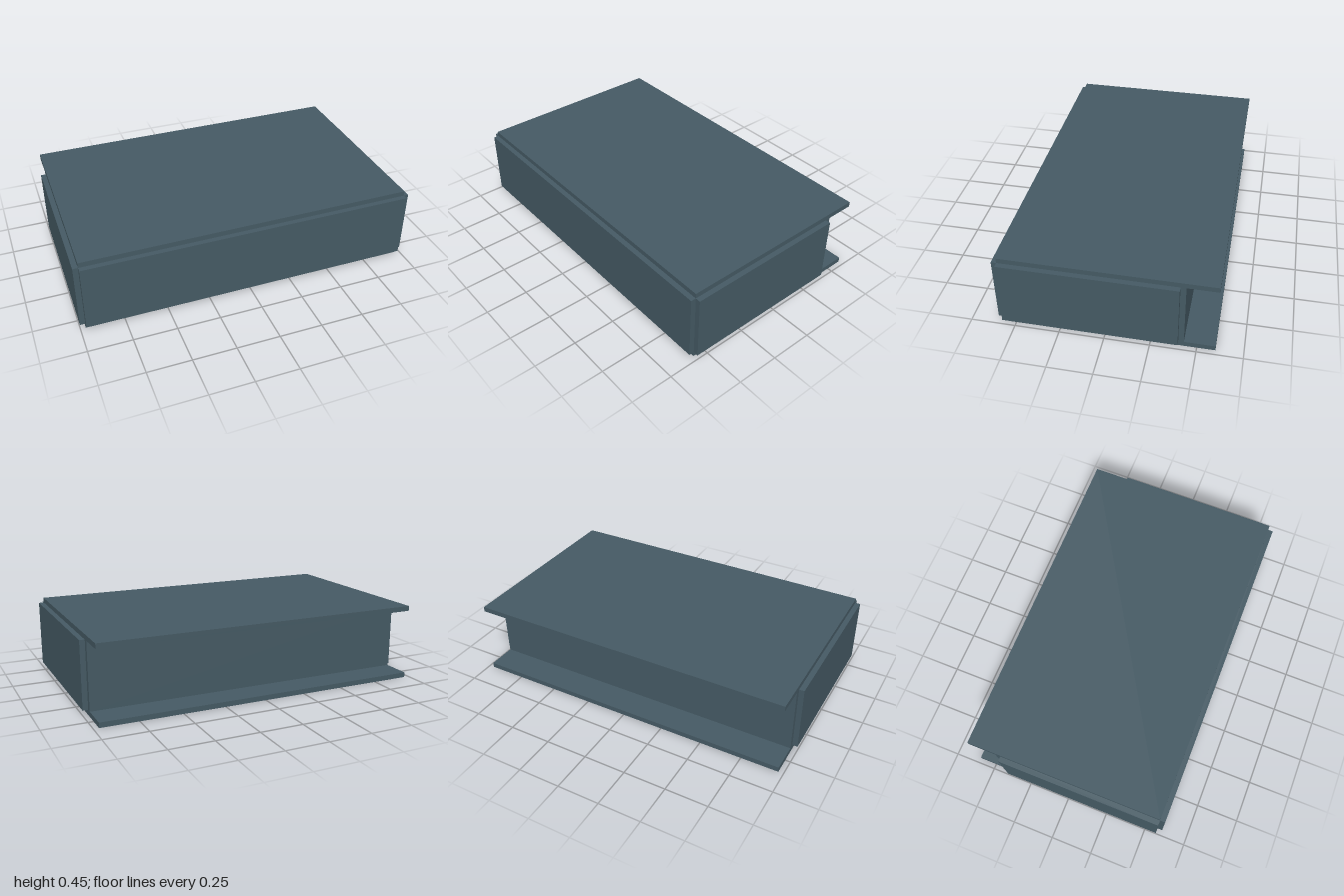
import * as THREE from 'three';

export function createModel() {
  const group = new THREE.Group();
  const slate = new THREE.MeshStandardMaterial({ color: 0x455a64 });
  slate.name = 'slate';

  const t = 0.03;                      // panel thickness
  const w = 1.94;                      // width between the side panels
  const height = 0.45, wall = height - 2 * t;
  const front = 0.57, back = -0.4, rear = -0.6;

  function panel(name, size, position) {
    const mesh = new THREE.Mesh(new THREE.BoxGeometry(...size), slate);
    mesh.name = name;
    mesh.position.set(...position);
    group.add(mesh);
  }

  // Top and bottom run past the back wall
  const plate = [w, t, front - rear], plateZ = (front + rear) / 2;
  panel('topPanel', plate, [0, height - t / 2, plateZ]);
  panel('bottomPanel', plate, [0, t / 2, plateZ]);

  // Front wall and recessed back wall
  panel('frontPanel', [w, wall, t], [0, height / 2, front + t / 2]);
  panel('backPanel', [w, wall, t], [0, height / 2, back - t / 2]);

  // Side walls sit outside the plates
  for (const [name, s] of [['leftPanel', 1], ['rightPanel', -1]]) {
    panel(name, [t, wall, front - back], [s * (w + t) / 2, height / 2, (front + back) / 2]);
  }
  return group;
}
